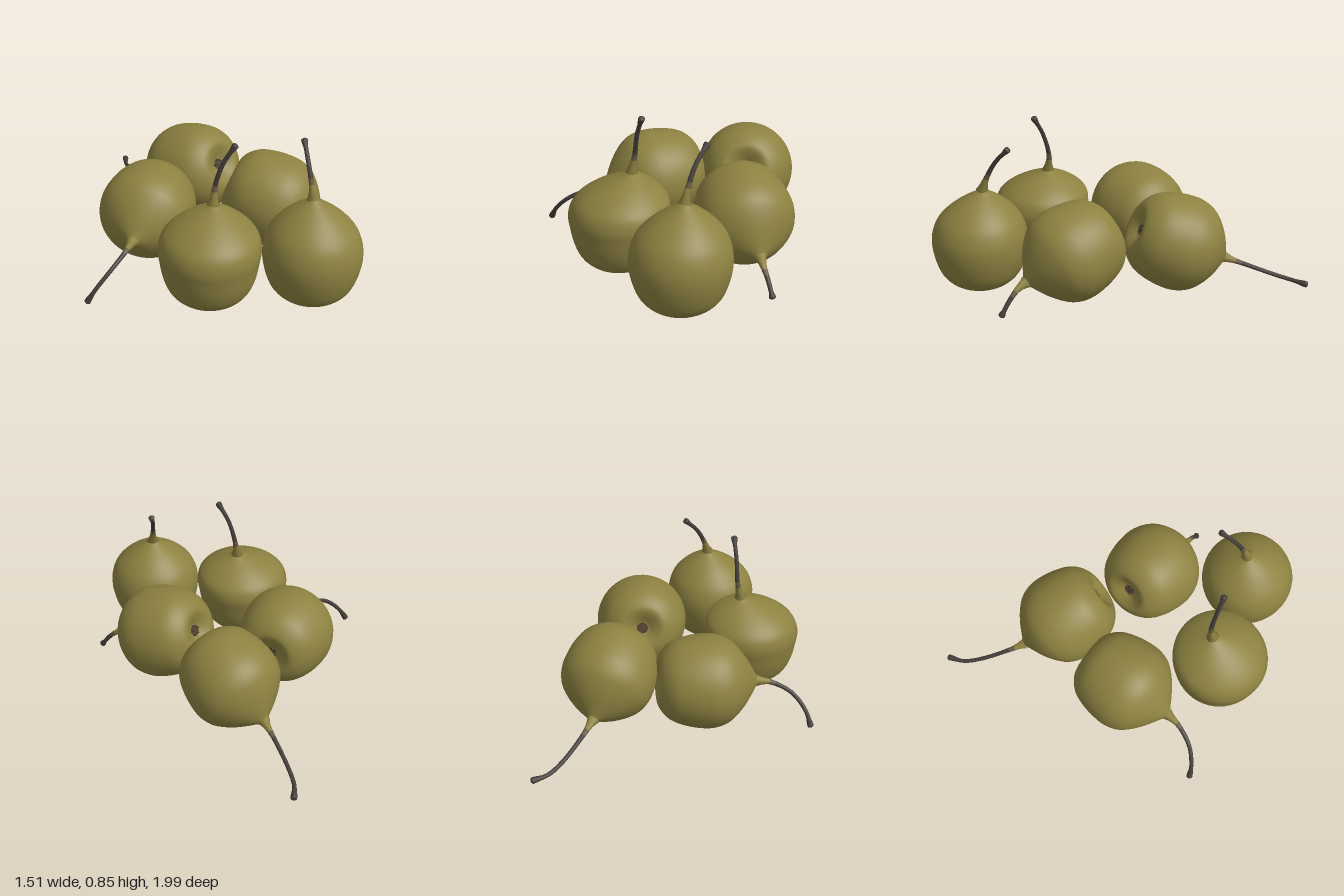
import * as THREE from 'three';

const V = (a) => new THREE.Vector3(...a);
const mat = (name, color) => {
  const m = new THREE.MeshStandardMaterial({ color });
  m.name = name;
  return m;
};

// centre of each fruit, stem path from shoulder to tip, extra shoulder roundness
const PEARS = [
  { name: 'frontLeftPear', c: [-0.13, 0.25, 0.565], upright: true, round: 0.022,
    stem: [[-0.085, 0.505, 0.505], [-0.072, 0.6, 0.492], [-0.04, 0.73, 0.51], [0.012, 0.838, 0.54]] },
  { name: 'frontRightPear', c: [0.37, 0.25, 0.735], upright: true, round: 0,
    stem: [[0.375, 0.54, 0.703], [0.375, 0.605, 0.68], [0.38, 0.71, 0.62], [0.395, 0.795, 0.54]] },
  { name: 'rightPear', c: [0.405, 0.265, 0.195], round: 0.008,
    stem: [[0.61, 0.165, 0.375], [0.65, 0.135, 0.41], [0.695, 0.085, 0.44], [0.737, 0.018, 0.468]] },
  { name: 'leftPear', c: [-0.265, 0.257, 0.035], round: 0.008,
    stem: [[-0.44, 0.235, 0.268], [-0.5, 0.222, 0.33], [-0.6, 0.172, 0.39], [-0.69, 0.09, 0.407], [-0.738, 0.018, 0.4]] },
  { name: 'backPear', c: [0.125, 0.265, -0.3], round: 0.008,
    stem: [[0.0, 0.145, -0.53], [-0.03, 0.105, -0.63], [-0.065, 0.045, -0.8], [-0.07, 0.022, -0.9], [-0.047, 0.018, -0.983]] },
];

// lathe profile: lower half in units, upper half as a share of the shoulder height
const LOWER = [[0.001, -0.212], [0.035, -0.214], [0.075, -0.236], [0.12, -0.25], [0.17, -0.225],
  [0.215, -0.175], [0.243, -0.1], [0.257, -0.02]];
const UPPER = [[0.253, 0.18], [0.228, 0.42], [0.187, 0.6], [0.135, 0.76], [0.085, 0.88], [0.048, 0.96], [0.024, 1.02]];

// fruit body, with its shoulder leaning toward the stem
function bodyGeometry(top, round) {
  const L = top.y;
  const pts = [
    ...LOWER.map(([r, y]) => new THREE.Vector2(r, y)),
    ...UPPER.map(([r, s]) => new THREE.Vector2(r + round * Math.sin(Math.PI * Math.min(s, 1)), s * L)),
  ];
  const geo = new THREE.LatheGeometry(new THREE.SplineCurve(pts).getPoints(56), 48);
  const p = geo.attributes.position;
  for (let i = 0; i < p.count; i++) {
    const s = Math.max(0, p.getY(i) / L);
    p.setX(i, p.getX(i) + top.x * s * s);
    p.setZ(i, p.getZ(i) + top.z * s * s);
  }
  // keep the lathe's own smooth normals, so its seam stays invisible
  return geo;
}

// tapered tube: flared neck, thin stalk, swollen tip
function stemGeometry(curve) {
  const N = 40, R = 10, len = curve.getLength();
  const geo = new THREE.TubeGeometry(curve, N, 1, R, false);
  const p = geo.attributes.position, v = new THREE.Vector3();
  for (let j = 0; j <= N; j++) {
    const t = j / N, d = t * len, c = curve.getPointAt(t);
    const radius = 0.0115 + 0.024 * Math.exp(-d / 0.04) + 0.006 * THREE.MathUtils.smoothstep(t, 0.86, 1);
    for (let i = 0; i <= R; i++) {
      const k = j * (R + 1) + i;
      v.fromBufferAttribute(p, k).sub(c).multiplyScalar(radius).add(c);
      p.setXYZ(k, v.x, v.y, v.z);
    }
  }
  // colour bands along the length: green neck, brown band, dark stalk
  const a = Math.round((N * 0.075) / len), b = Math.round((N * 0.11) / len);
  [[0, a], [a, b], [b, N]].forEach(([from, to], m) => geo.addGroup(from * R * 6, (to - from) * R * 6, m));
  return geo;
}

export function createModel() {
  const skin = mat('olive skin', 0x8d8241);
  const brown = mat('brown stem base', 0x685a45);
  const dark = mat('dark stem', 0x453f3b);
  const calyxMat = mat('calyx brown', 0x4f4230);
  const model = new THREE.Group();
  model.name = 'pears';
  const up = new THREE.Vector3(0, 1, 0);

  for (const { name, c, upright, round, stem } of PEARS) {
    const pear = new THREE.Group();
    pear.name = name;
    const path = stem.map(V), centre = V(c);
    const toTop = path[0].clone().sub(centre);

    // body and calyx share the fruit's own axis
    const fruit = new THREE.Group();
    fruit.name = 'fruit';
    fruit.position.copy(centre);
    if (!upright) fruit.quaternion.setFromUnitVectors(up, toTop.clone().normalize());
    const top = toTop.clone().applyQuaternion(fruit.quaternion.clone().invert());
    const body = new THREE.Mesh(bodyGeometry(top, round), skin);
    body.name = 'body';
    const calyx = new THREE.Mesh(new THREE.CylinderGeometry(0.026, 0.032, 0.009, 14), calyxMat);
    calyx.name = 'calyx';
    calyx.position.y = -0.214;
    fruit.add(body, calyx);
    for (let i = 0; i < 5; i++) {
      const a = (i / 5) * Math.PI * 2;
      const sepal = new THREE.Mesh(new THREE.ConeGeometry(0.009, 0.024, 6), calyxMat);
      sepal.name = 'sepal';
      sepal.position.set(Math.cos(a) * 0.025, -0.222, Math.sin(a) * 0.025);
      sepal.rotation.x = Math.PI;
      fruit.add(sepal);
    }

    // stem with a rounded tip
    const curve = new THREE.CatmullRomCurve3(path);
    const stalk = new THREE.Mesh(stemGeometry(curve), [skin, brown, dark]);
    stalk.name = 'stem';
    const tip = new THREE.Mesh(new THREE.SphereGeometry(0.0175, 12, 8), dark);
    tip.name = 'stemTip';
    tip.position.copy(path[path.length - 1]);
    tip.quaternion.setFromUnitVectors(up, curve.getTangentAt(1));
    tip.scale.y = 0.6;

    pear.add(fruit, stalk, tip);
    model.add(pear);
  }
  return model;
}
